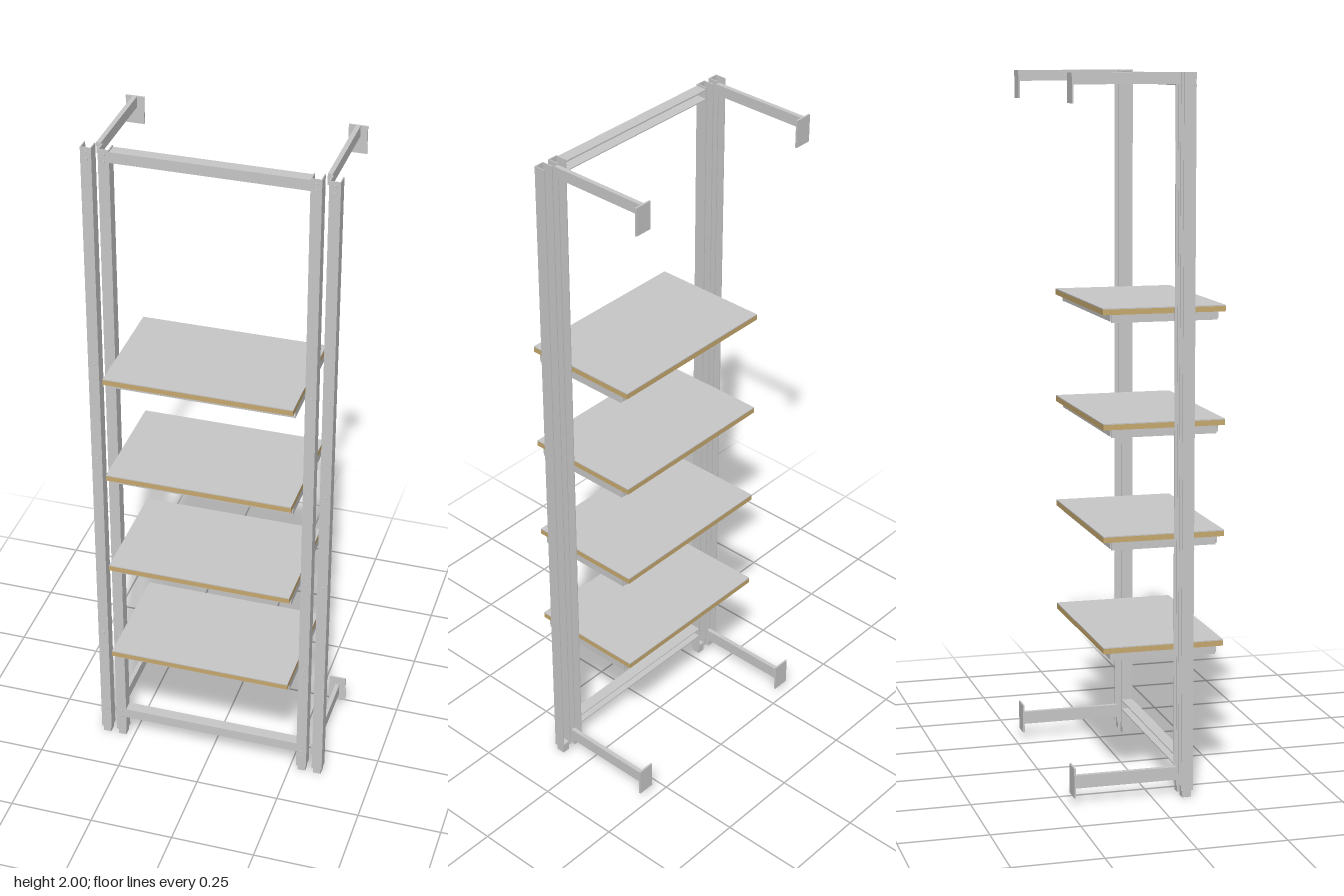
import * as THREE from 'three';

export function createModel() {
  const root = new THREE.Group();
  root.name = 'wallShelf';
  const metal = new THREE.MeshStandardMaterial({ color: 0xc8c8c8 });
  metal.name = 'light grey metal';
  const wood = new THREE.MeshStandardMaterial({ color: 0xc8a96e });
  wood.name = 'tan board';

  const add = (geo, mat, name, x, y, z, parent = root) => {
    const m = new THREE.Mesh(geo, mat);
    m.name = name;
    m.position.set(x, y, z);
    parent.add(m);
    return m;
  };
  // box given by its limits on each axis
  const box = (name, mat, [x0, x1], [y0, y1], [z0, z1], parent) =>
    add(new THREE.BoxGeometry(x1 - x0, y1 - y0, z1 - z0), mat, name,
      (x0 + x1) / 2, (y0 + y1) / 2, (z0 + z1) / 2, parent);

  // upright U channel with its open side towards the back, centred on its length
  const channel = (w, d, t, length) => {
    const a = w / 2, b = d / 2;
    const s = new THREE.Shape([
      [-a, -b], [a, -b], [a, b], [a - t, b], [a - t, -b + t],
      [-a + t, -b + t], [-a + t, b], [-a, b],
    ].map(([x, y]) => new THREE.Vector2(x, y)));
    const g = new THREE.ExtrudeGeometry(s, { depth: length, bevelEnabled: false });
    g.translate(0, 0, -length / 2);
    return g.rotateX(-Math.PI / 2);
  };

  const shelfTops = [0.424, 0.739, 1.053, 1.369];
  const zMid = 0.094, depth = 0.034;
  const postGeo = channel(0.031, depth, 0.003, 1.98);
  const boltGeo = new THREE.CylinderGeometry(0.005, 0.005, 0.004, 12).rotateX(Math.PI / 2);

  // paired posts with feet and bolts
  for (const side of [-1, 1]) {
    for (const px of [0.2865, 0.3355]) {
      const x = side * px;
      add(postGeo, metal, 'post', x, 1.01, zMid);
      box('foot', metal, [x - 0.012, x + 0.012], [0, 0.03], [zMid - 0.013, zMid + 0.013]);
      for (const y of [0.08, 0.1, 1.97, 1.99, ...shelfTops.map((s) => s - 0.028)])
        add(boltGeo, metal, 'bolt', x, y - 0.004, 0.113);
    }
    // wall arms between the posts, with end plates
    const ax = side * 0.3125;
    for (const [y0, y1, p0, p1] of [[0.043, 0.08, 0.022, 0.107], [1.969, 2, 1.92, 2]]) {
      box('wallArm', metal, [ax - 0.0065, ax + 0.0065], [y0, y1], [-0.222, 0.073]);
      box('wallPlate', metal, [ax - 0.026, ax + 0.026], [p0, p1], [-0.227, -0.222]);
    }
  }

  // top and bottom crossbars
  const barGeo = channel(0.031, depth, 0.003, 0.542).rotateZ(Math.PI / 2);
  add(barGeo, metal, 'topCrossbar', 0, 1.98, zMid);
  add(barGeo, metal, 'bottomCrossbar', 0, 0.09, zMid);

  // shelves: board, laminate top and a thin frame beneath
  for (const top of shelfTops) {
    const shelf = new THREE.Group();
    shelf.name = 'shelf';
    shelf.position.y = top;
    root.add(shelf);
    box('laminate', metal, [-0.268, 0.268], [-0.003, 0], [-0.124, 0.224], shelf);
    box('board', wood, [-0.268, 0.268], [-0.018, -0.003], [-0.124, 0.224], shelf);
    for (const s of [-1, 1]) {
      const x = s * 0.2665, z = 0.05 + s * 0.153;
      box('sideRail', metal, [x - 0.0015, x + 0.0015], [-0.04, -0.018], [-0.101, 0.2], shelf);
      box('longRail', metal, [-0.265, 0.265], [-0.036, -0.018], [z - 0.0015, z + 0.0015], shelf);
    }
  }
  return root;
}
